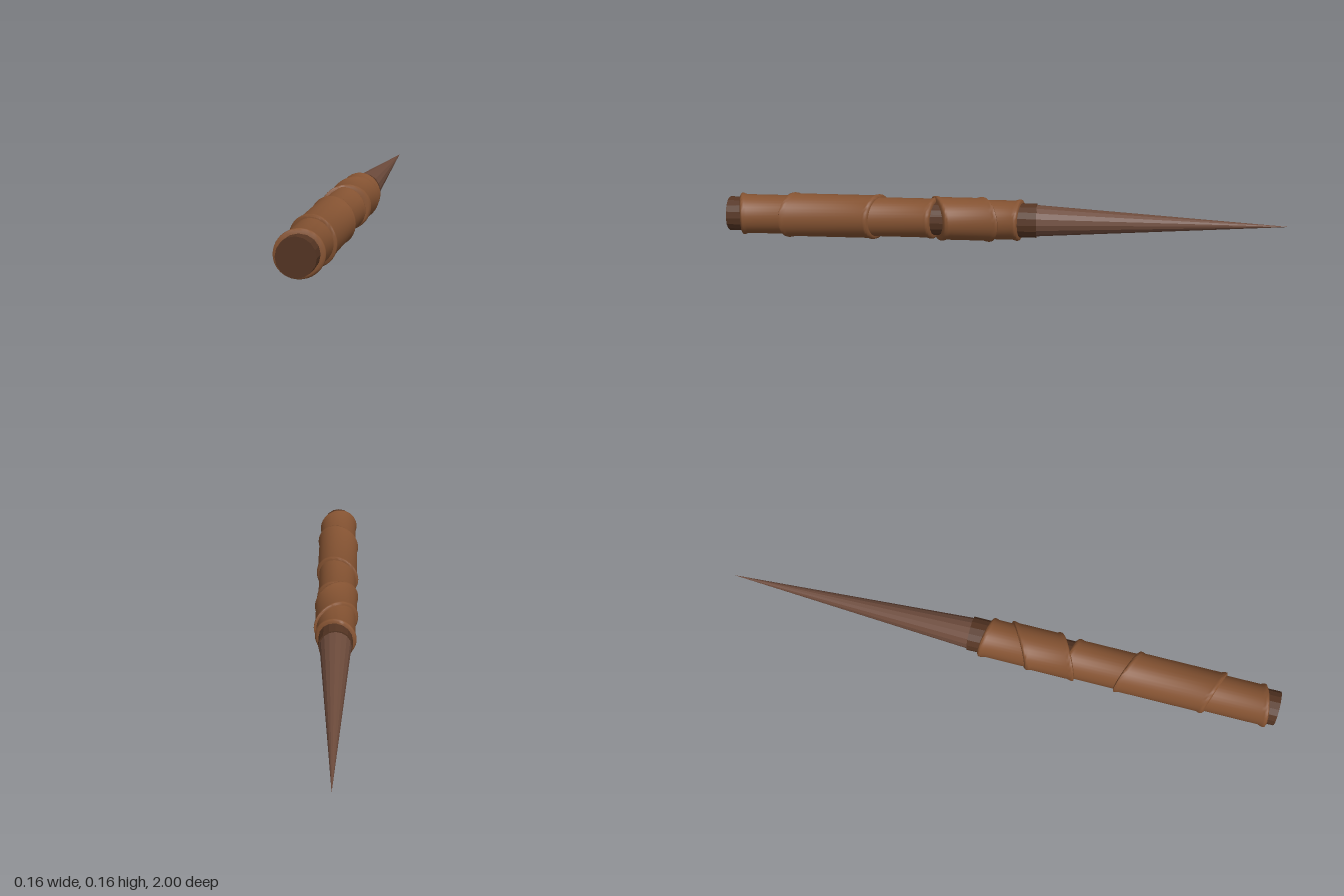
import * as THREE from 'three';
import { toCreasedNormals, mergeVertices } from 'three/addons/utils/BufferGeometryUtils.js';

const AXIS_Y = 0.082; // height of the shaft's centre line

// Wrapped sleeve: a tube with rounded lips whose ends are cut on a slant across x.
// back and front hold the z of the cut at [-x side, +x side].
function sleeveGeometry(radius, lip, back, front) {
  const inner = 0.05;
  const mid = e => (e[0] + e[1]) / 2;
  const slope = e => (e[1] - e[0]) / (2 * lip);
  const z0 = mid(back), z1 = mid(front);
  const end = [[inner, 0], [radius - 0.003, 0], [lip - 0.001, 0.004], [lip, 0.009], [lip - 0.001, 0.015], [radius, 0.024]];
  const points = [
    ...end.map(([r, d]) => new THREE.Vector2(r, z0 + d)),
    ...end.slice().reverse().map(([r, d]) => new THREE.Vector2(r, z1 - d)),
  ];
  let geo = new THREE.LatheGeometry(points, 40).rotateX(Math.PI / 2);
  const p = geo.attributes.position;
  for (let i = 0; i < p.count; i++) {
    const t = (p.getZ(i) - z0) / (z1 - z0);
    p.setZ(i, p.getZ(i) + p.getX(i) * THREE.MathUtils.lerp(slope(back), slope(front), t));
  }
  geo.deleteAttribute('uv');
  geo.deleteAttribute('normal');
  geo = mergeVertices(geo, 1e-5);
  geo.computeVertexNormals();
  return toCreasedNormals(geo, 0.9);
}

export function createModel() {
  const model = new THREE.Group();
  model.name = 'wand';

  const material = (name, color, flatShading = false) => {
    const m = new THREE.MeshStandardMaterial({ color, flatShading });
    m.name = name;
    return m;
  };
  const darkWood = material('darkWood', 0x553523, true);
  const paleWood = material('paleWood', 0x6d4b3c, true);
  const leather = material('leather', 0x855332);

  const add = (name, geometry, mat) => {
    const mesh = new THREE.Mesh(geometry, mat);
    mesh.name = name;
    mesh.position.y = AXIS_Y;
    model.add(mesh);
  };

  // Faceted core of the grip
  add('gripCore', new THREE.CylinderGeometry(0.061, 0.061, 1.11, 16)
    .rotateX(Math.PI / 2).translate(0, 0, 0.445), darkWood);

  // Long tapering point, towards the back
  add('point', new THREE.ConeGeometry(0.056, 0.89, 16)
    .rotateX(-Math.PI / 2).translate(0, 0, -0.555), paleWood);

  // Overlapping sleeves: body radius, lip radius, back cut, front cut
  const sleeves = [
    ['rearSleeve', 0.070, 0.074, [-0.07, -0.04], [0.16, 0.12]],
    ['rearBand', 0.076, 0.080, [0.11, 0.02], [0.29, 0.21]],
    ['middleSleeve', 0.070, 0.074, [0.23, 0.27], [0.52, 0.55]],
    ['frontBand', 0.077, 0.081, [0.425, 0.49], [0.75, 0.81]],
    ['frontSleeve', 0.070, 0.075, [0.65, 0.68], [0.975, 0.945]],
  ];
  for (const [name, radius, lip, back, front] of sleeves) {
    add(name, sleeveGeometry(radius, lip, back, front), leather);
  }
  return model;
}
